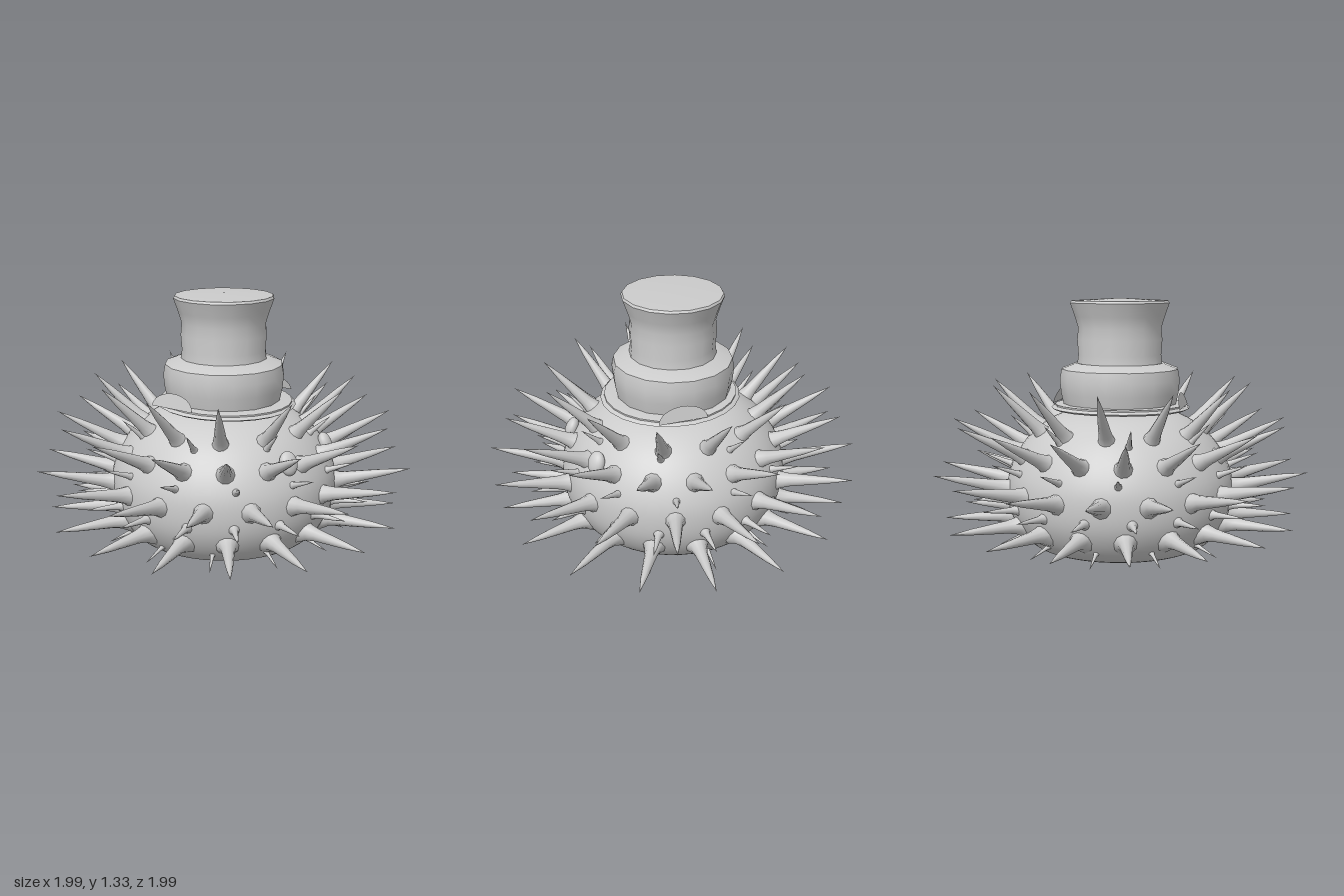
import * as THREE from 'three';
import { toCreasedNormals } from 'three/addons/utils/BufferGeometryUtils.js';

const material = new THREE.MeshStandardMaterial({ color: 0xcccccc });
const thinMaterial = new THREE.MeshStandardMaterial({ color: 0xcccccc, side: THREE.DoubleSide });
const UP = new THREE.Vector3(0, 1, 0);
const toPoints = (list) => list.map(([x, y]) => new THREE.Vector2(x, y));

function addMesh(parent, name, geometry, mat = material) {
  const mesh = new THREE.Mesh(geometry, mat);
  mesh.name = name;
  parent.add(mesh);
  return mesh;
}

// Lathe with sharp edges where the profile turns
function turned(profile, sides) {
  return toCreasedNormals(new THREE.LatheGeometry(toPoints(profile), sides), 0.6);
}

// Point on a ring: angle in degrees from the front (+z) towards +x
function ringPoint(radius, y, degrees) {
  const a = THREE.MathUtils.degToRad(degrees);
  return new THREE.Vector3(radius * Math.sin(a), y, radius * Math.cos(a));
}

// Unit spine: flared root, slender shaft, sharp tip
const spineGeometry = new THREE.LatheGeometry(toPoints([
  [1.25, -0.08], [1, 0], [0.68, 0.1], [0.53, 0.22], [0.42, 0.42], [0.26, 0.7], [0, 1],
]), 10);

// A full ring of spines, from base [radius, y] to tip [radius, y]
function addSpineRow(parent, name, { base, tip, count, offset, width }) {
  const row = new THREE.Group();
  row.name = name;
  for (let i = 0; i < count; i++) {
    const angle = offset + (i * 360) / count;
    const start = ringPoint(...base, angle);
    const direction = ringPoint(...tip, angle).sub(start);
    const length = direction.length();
    const spine = addMesh(row, 'spine', spineGeometry);
    spine.position.copy(start);
    spine.quaternion.setFromUnitVectors(UP, direction.normalize());
    spine.scale.set(width, length, width);
  }
  parent.add(row);
}

export function createModel() {
  const model = new THREE.Group();
  model.name = 'spinyCreatureWithHat';

  // Squat rounded body with a flat underside
  const outline = new THREE.SplineCurve(toPoints([
    [0.38, 0.003], [0.47, 0.03], [0.54, 0.1], [0.59, 0.2], [0.605, 0.31], [0.59, 0.42],
    [0.53, 0.54], [0.43, 0.645], [0.28, 0.72], [0, 0.755],
  ])).getPoints(36);
  outline[outline.length - 1].x = 0;
  addMesh(model, 'body', new THREE.LatheGeometry([new THREE.Vector2(0, 0), new THREE.Vector2(0.33, 0), ...outline], 48));

  // Four rings of large spines
  addSpineRow(model, 'lowestSpines', { base: [0.56, 0.16], tip: [0.945, 0.15], count: 16, offset: -7, width: 0.062 });
  addSpineRow(model, 'lowerSpines', { base: [0.57, 0.33], tip: [0.998, 0.42], count: 16, offset: 4, width: 0.066 });
  addSpineRow(model, 'upperSpines', { base: [0.515, 0.5], tip: [0.89, 0.69], count: 16, offset: -8, width: 0.062 });
  addSpineRow(model, 'topSpines', { base: [0.41, 0.61], tip: [0.69, 0.89], count: 12, offset: 4, width: 0.062 });

  // Thin spines between the large rings
  addSpineRow(model, 'thinBottomSpines', { base: [0.52, 0.09], tip: [0.66, 0.045], count: 12, offset: 0, width: 0.018 });
  addSpineRow(model, 'thinLowerSpines', { base: [0.59, 0.25], tip: [0.79, 0.26], count: 16, offset: -4, width: 0.032 });
  addSpineRow(model, 'thinMiddleSpines', { base: [0.565, 0.43], tip: [0.74, 0.5], count: 12, offset: -18, width: 0.028 });
  addSpineRow(model, 'thinUpperSpines', { base: [0.46, 0.6], tip: [0.58, 0.71], count: 8, offset: 18, width: 0.026 });

  // Eyes: flattened ovals lying on the front of the body
  for (const [name, angle] of [['rightEye', -18], ['leftEye', 25]]) {
    const eye = addMesh(model, name, new THREE.SphereGeometry(1, 20, 14));
    eye.position.copy(ringPoint(0.545, 0.54, angle));
    eye.rotation.set(-0.35, THREE.MathUtils.degToRad(angle), 0, 'YXZ');
    eye.scale.set(0.05, 0.062, 0.035);
  }

  // Top hat
  const hat = new THREE.Group();
  hat.name = 'hat';
  model.add(hat);
  const brim = addMesh(hat, 'hatBrim', turned([
    [0, 0], [0.35, 0], [0.37, 0.01], [0.36, 0.02], [0.35, 0.022], [0.35, 0.03], [0.3, 0.035], [0, 0.035],
  ], 24));
  brim.position.set(0, 0.735, 0.015);
  brim.rotation.x = 0.02;
  addMesh(hat, 'hatBand', turned([
    [0, 0.74], [0.3, 0.76], [0.315, 0.83], [0.322, 0.9], [0.312, 0.955], [0.235, 0.985], [0, 0.985],
  ], 16));
  addMesh(hat, 'hatCrown', turned([
    [0, 0.97], [0.23, 0.97], [0.222, 1.03], [0.228, 1.11], [0.222, 1.17], [0.24, 1.23],
    [0.265, 1.3], [0.258, 1.312], [0, 1.325],
  ], 16));

  // Curled-up edges of the brim on both sides
  for (const side of [1, -1]) {
    const curl = addMesh(hat, side > 0 ? 'leftBrimCurl' : 'rightBrimCurl',
      new THREE.CircleGeometry(0.13, 16, 0, Math.PI), thinMaterial);
    curl.position.set(side * 0.355, 0.765, side * 0.07);
    curl.rotation.set(0, Math.PI / 2, side * 0.25, 'ZYX');
    curl.scale.y = 0.6;
  }
  return model;
}
